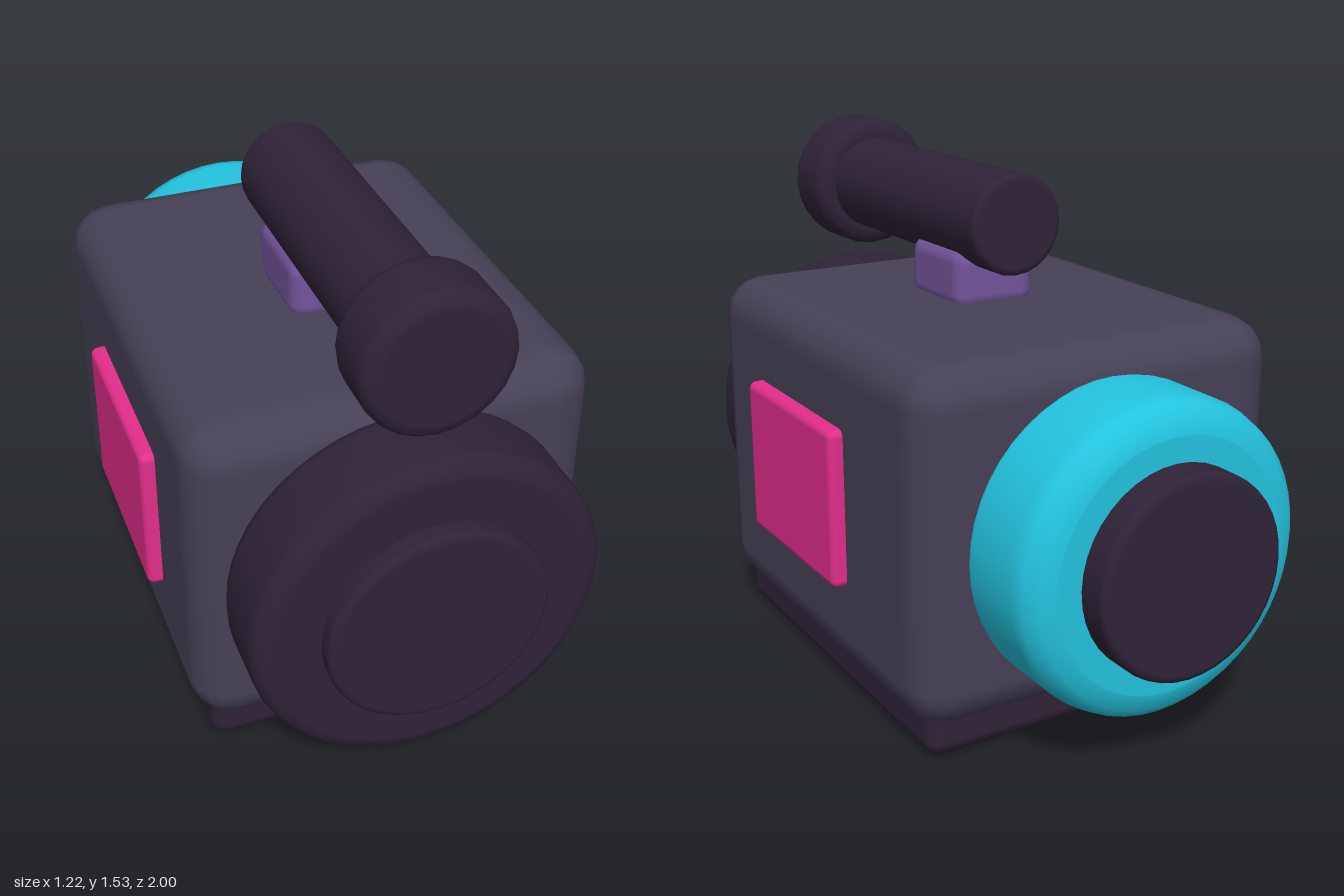
import * as THREE from 'three';
import { RoundedBoxGeometry } from 'three/addons/geometries/RoundedBoxGeometry.js';

const material = (name, color) => {
  const m = new THREE.MeshStandardMaterial({ color });
  m.name = name;
  return m;
};

export function createModel() {
  const slate = material('slate', 0x464156);
  const dark = material('dark plum', 0x2f2337);
  const teal = material('teal', 0x24c4e0);
  const pink = material('pink', 0xe22e8b);
  const purple = material('purple', 0x73559c);
  const model = new THREE.Group();
  model.name = 'camcorder';

  const add = (name, geometry, mat) => {
    const mesh = new THREE.Mesh(geometry, mat);
    mesh.name = name;
    model.add(mesh);
    return mesh;
  };

  // Rounded box given by its [min, max] extents
  const box = (name, x, y, z, radius, mat, steps = 2) => {
    const g = new RoundedBoxGeometry(x[1] - x[0], y[1] - y[0], z[1] - z[0], steps, radius);
    g.translate((x[0] + x[1]) / 2, (y[0] + y[1]) / 2, (z[0] + z[1]) / 2);
    return add(name, g, mat);
  };

  // Drum along z with rounded rims
  const drum = (name, r, y, z0, z1, bevel, sides, mat) => {
    const points = [new THREE.Vector2(0, z0), new THREE.Vector2(r - bevel - 0.005, z0)];
    const steps = 3;
    for (const end of [0, 1]) {
      for (let i = 0; i <= steps; i++) {
        const a = (-1 + end + i / steps) * Math.PI / 2;
        const cz = end ? z1 - bevel : z0 + bevel;
        points.push(new THREE.Vector2(r - bevel + bevel * Math.cos(a), cz + bevel * Math.sin(a)));
      }
    }
    points.push(new THREE.Vector2(r - bevel - 0.005, z1), new THREE.Vector2(0, z1));
    const g = new THREE.LatheGeometry(points, sides);
    g.rotateX(Math.PI / 2);
    g.translate(0, y, 0);
    return add(name, g, mat);
  };

  // Housing and base
  box('body', [-0.57, 0.57], [0.09, 1.09], [-0.63, 0.715], 0.12, slate);
  box('base', [-0.52, 0.52], [0, 0.2], [-0.575, 0.665], 0.045, dark);

  // Front lens
  drum('lensBarrel', 0.49, 0.575, 0.69, 0.95, 0.05, 48, dark);
  drum('lensCap', 0.308, 0.575, 0.88, 1.0, 0.02, 48, dark);

  // Rear eyepiece
  drum('eyepieceRing', 0.437, 0.575, -0.91, -0.56, 0.085, 48, teal);
  drum('eyepieceDisc', 0.28, 0.575, -1.0, -0.85, 0.02, 40, dark);

  // Microphone on its mount
  box('microphoneMount', [-0.13, 0.13], [1.06, 1.25], [-0.055, 0.25], 0.05, purple);
  drum('microphoneTube', 0.145, 1.325, -0.16, 0.78, 0.018, 24, dark);
  drum('microphoneHead', 0.205, 1.325, 0.72, 0.92, 0.04, 24, dark);

  // Side panels, mirrored
  for (const s of [-1, 1]) {
    const panel = box(s > 0 ? 'leftPanel' : 'rightPanel',
      [-0.04, 0.04], [0.37, 0.83], [-0.19, 0.38], 0.022, pink);
    panel.position.x = s * 0.572;
  }
  return model;
}
